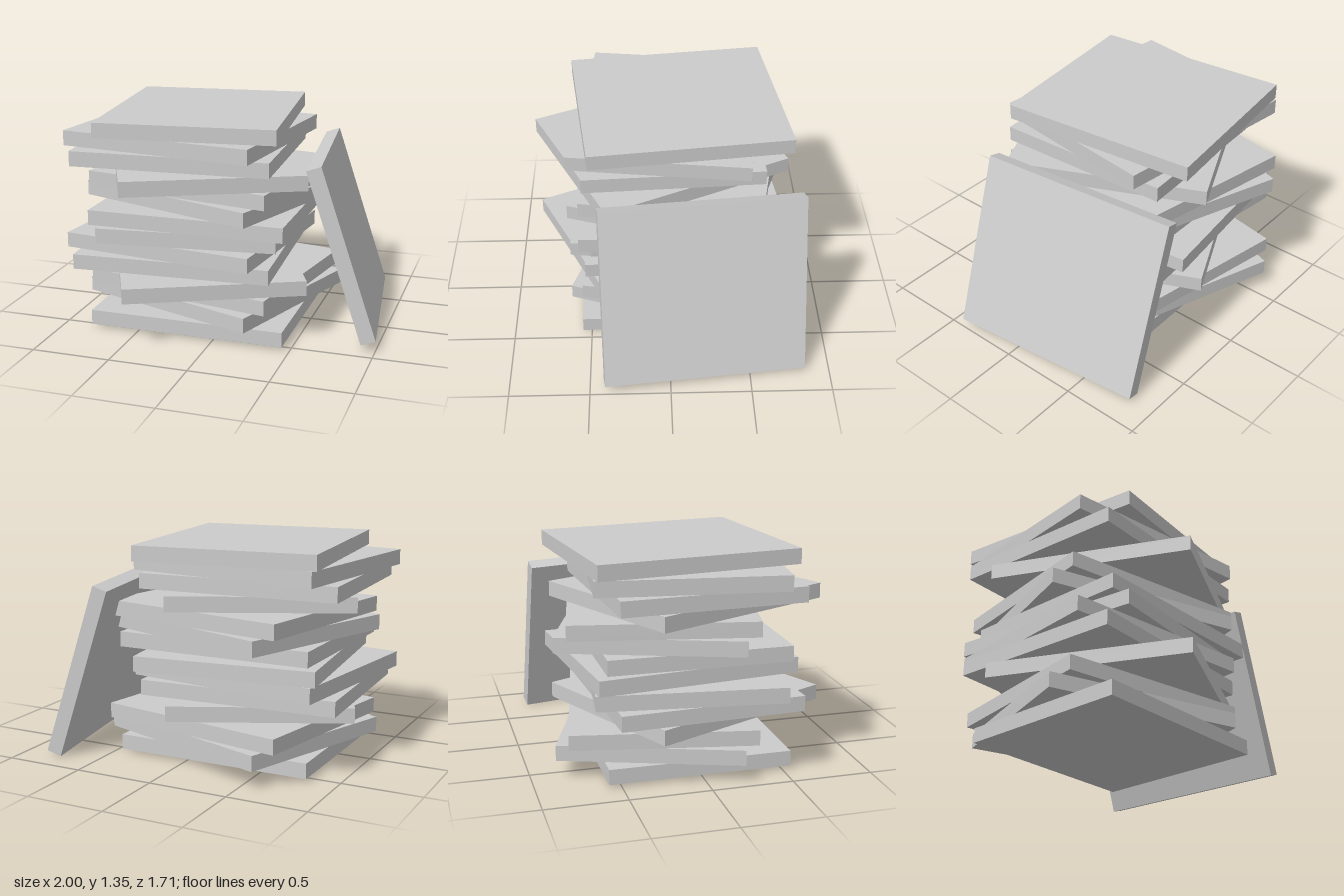
import * as THREE from 'three';

const LONG = 1.26, SHORT = 1.13, THICK = 0.0953;

export function createModel() {
  const group = new THREE.Group();
  const material = new THREE.MeshStandardMaterial({ color: 0xcccccc, flatShading: true });
  const slabGeometry = new THREE.BoxGeometry(LONG, THICK, SHORT);

  function addSlab(name) {
    const mesh = new THREE.Mesh(slabGeometry, material);
    mesh.name = name;
    group.add(mesh);
    return mesh;
  }

  // Stack: a run of seven loosely turned slabs, laid twice [x, z, turn in degrees]
  const run = [
    [-0.18, -0.01, 0],
    [-0.18, -0.11, -19.2],
    [-0.18, -0.117, -10.7],
    [-0.22, 0.045, 25 + 90],
    [-0.305, 0, 3.2],
    [-0.305, -0.017, -7.2],
    [-0.248, -0.077, 6.6 + 90],
  ];
  for (let i = 0; i < run.length * 2; i++) {
    const [x, z, turn] = run[i % run.length];
    const slab = addSlab(`stackedSlab${i + 1}`);
    slab.position.set(x, 0.02 + (i + 0.5) * THICK, z);
    slab.rotation.y = THREE.MathUtils.degToRad(turn);
  }

  // Slab leaning against the side of the stack, oriented by its long and rising edges
  const along = new THREE.Vector3(0.165, 0.035, 1.248).normalize();
  const rise = new THREE.Vector3(-0.36, 1.08, 0.02);
  const normal = new THREE.Vector3().crossVectors(rise, along).normalize();
  const up = new THREE.Vector3().crossVectors(along, normal);
  const leaning = addSlab('leaningSlab');
  leaning.quaternion.setFromRotationMatrix(new THREE.Matrix4().makeBasis(along, normal, up));
  leaning.position.set(0.695, 0.57, -0.207);

  return group;
}
